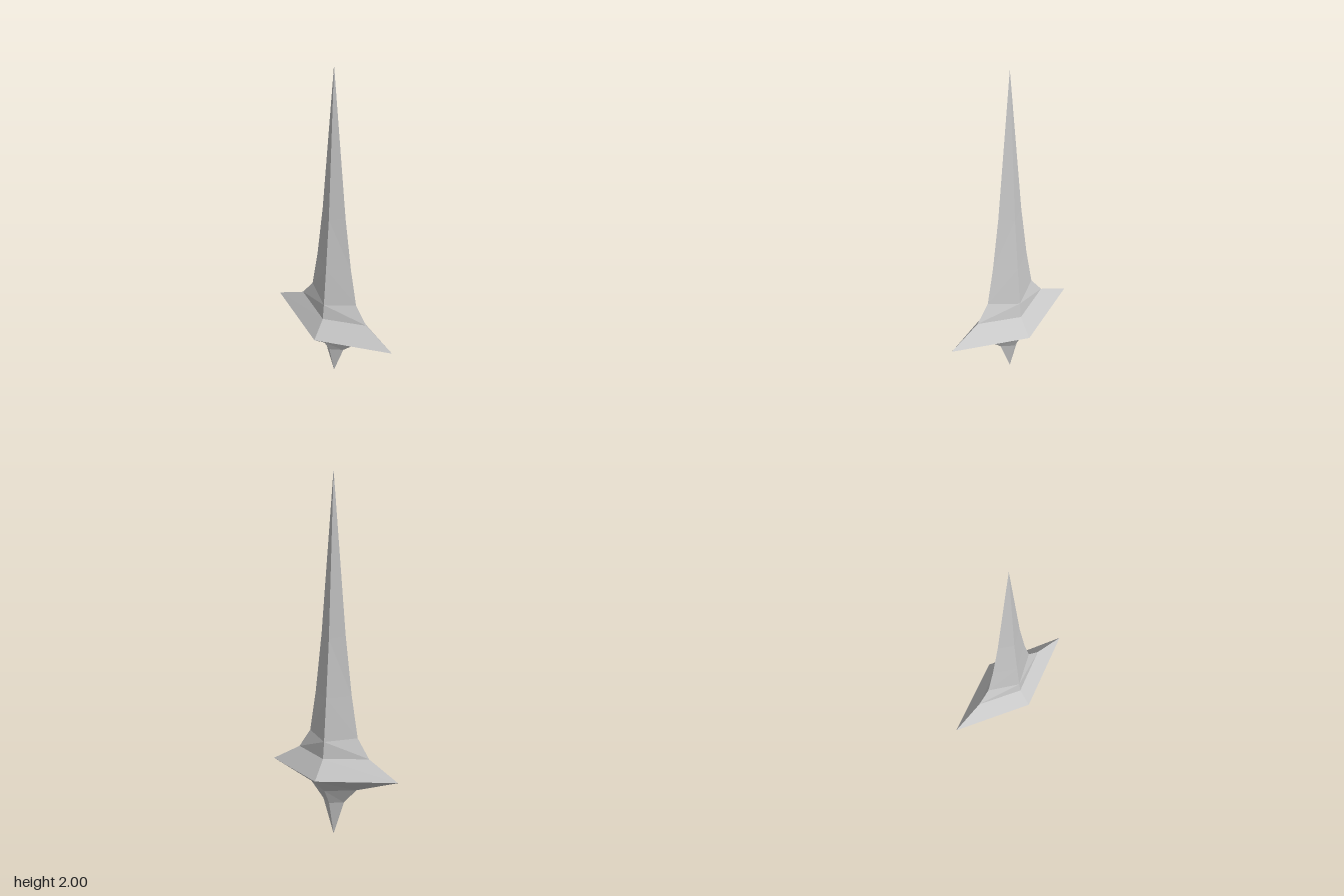
import * as THREE from 'three';

// Each ring is a diamond: [half width x, side corner y, half depth z, front corner y], from bottom to top
const RINGS = {
  lowerSpike: [
    [0, 0, 0, 0],
    [0.07, 0.193, 0.042, 0.187],
    [0.153, 0.277, 0.085, 0.266],
  ],
  guard: [
    [0.153, 0.277, 0.085, 0.266],
    [0.42, 0.365, 0.172, 0.341],
    [0.235, 0.465, 0.098, 0.45],
  ],
  blade: [
    [0.235, 0.465, 0.098, 0.45],
    [0.16, 0.57, 0.088, 0.543],
    [0.12, 0.8, 0.068, 0.78],
    [0.08, 1.12, 0.043, 1.1],
    [0, 2, 0, 2],
  ],
};

// Four corners of a diamond ring, counter-clockwise seen from above
function corners([x, ySide, z, yFront]) {
  return [[x, ySide, 0], [0, yFront, -z], [-x, ySide, 0], [0, yFront, z]];
}

// Faceted skin joining consecutive rings; pointed ends collapse to one triangle per side
function loft(rings) {
  const positions = [];
  for (let i = 0; i < rings.length - 1; i++) {
    const low = corners(rings[i]);
    const high = corners(rings[i + 1]);
    for (let k = 0; k < 4; k++) {
      const n = (k + 1) % 4;
      // mirror the diagonal so opposite sides match
      const even = k % 2 === 0;
      const tris = even
        ? [[low[k], low[n], high[n]], [low[k], high[n], high[k]]]
        : [[low[k], low[n], high[k]], [low[n], high[n], high[k]]];
      for (const [a, b, c] of tris) {
        const same = (p, q) => p.every((v, j) => v === q[j] || Math.abs(v - q[j]) < 1e-9);
        if (!same(a, b) && !same(b, c) && !same(a, c)) positions.push(...a, ...b, ...c);
      }
    }
  }
  const geometry = new THREE.BufferGeometry();
  geometry.setAttribute('position', new THREE.Float32BufferAttribute(positions, 3));
  geometry.computeVertexNormals();
  return geometry;
}

export function createModel() {
  const group = new THREE.Group();
  group.name = 'spindleCrystal';
  const paleGrey = new THREE.MeshStandardMaterial({ color: 0xcccccc, flatShading: true });
  paleGrey.name = 'paleGrey';

  // Pointed spike below, flared guard in the middle, tall blade above
  for (const [name, rings] of Object.entries(RINGS)) {
    const mesh = new THREE.Mesh(loft(rings), paleGrey);
    mesh.name = name;
    group.add(mesh);
  }
  return group;
}
